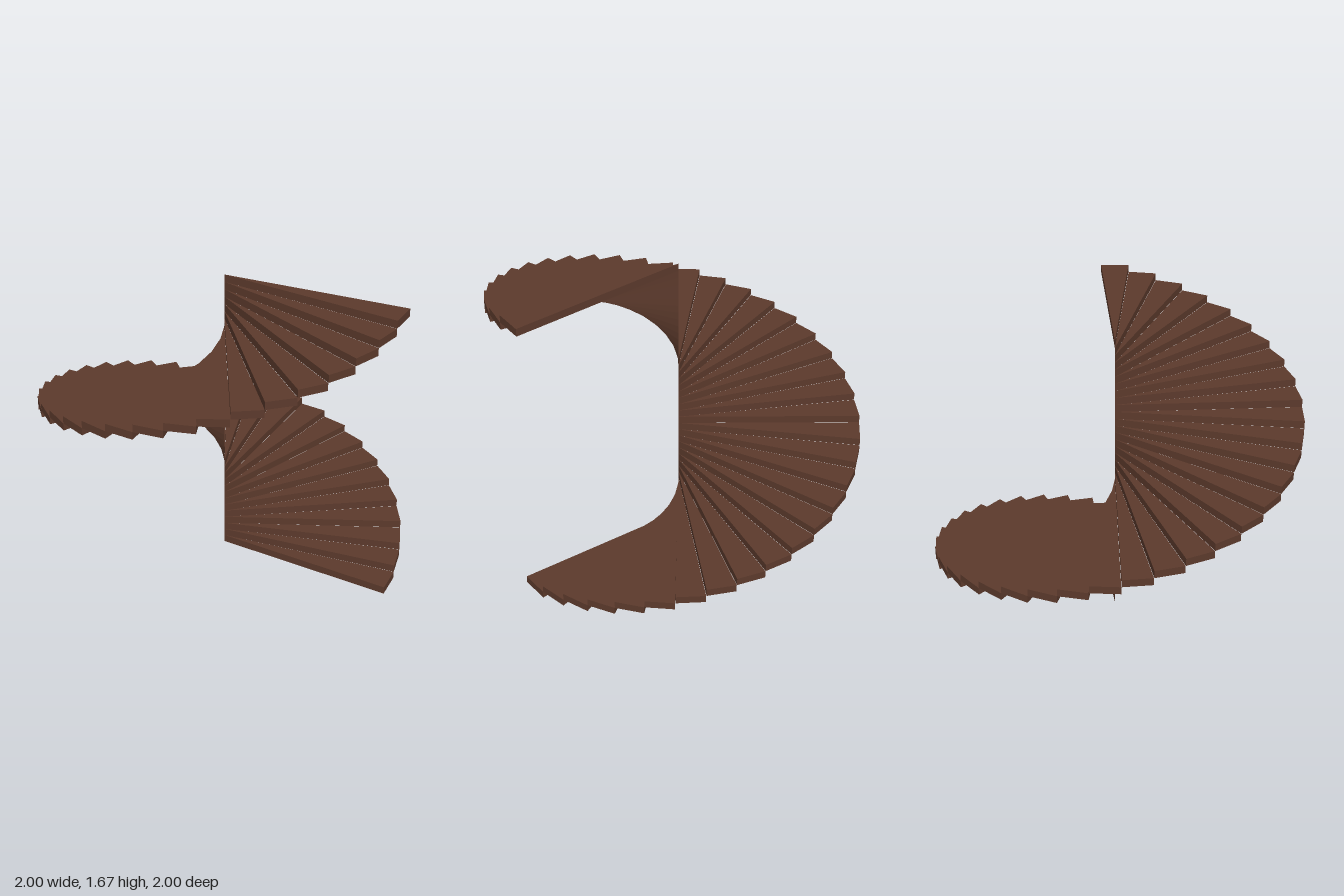
import * as THREE from 'three';

const STEPS = 40;
const RISE = 1.667 / STEPS;
const PITCH = THREE.MathUtils.degToRad(9.14); // turn from one step to the next
const WIDTH = THREE.MathUtils.degToRad(9.04); // angle of one tread, leaving a hairline gap

export function createModel() {
  const model = new THREE.Group();
  model.name = 'spiralStaircase';
  const wood = new THREE.MeshStandardMaterial({ color: 0x5c3a2c });
  wood.name = 'dark brown wood';

  // Wedge tread: a triangle with its tip on the axis, extruded by one rise
  const wedge = new THREE.Shape([
    new THREE.Vector2(0, 0),
    new THREE.Vector2(1, 0),
    new THREE.Vector2(Math.cos(WIDTH), Math.sin(WIDTH)),
  ]);
  const tread = new THREE.ExtrudeGeometry(wedge, { depth: RISE, bevelEnabled: false });
  tread.rotateX(-Math.PI / 2);

  // Treads climb anticlockwise, seen from above, starting at +x
  for (let i = 0; i < STEPS; i++) {
    const step = new THREE.Mesh(tread, wood);
    step.name = `step${i + 1}`;
    step.position.y = i * RISE;
    step.rotation.y = i * PITCH;
    model.add(step);
  }
  return model;
}
